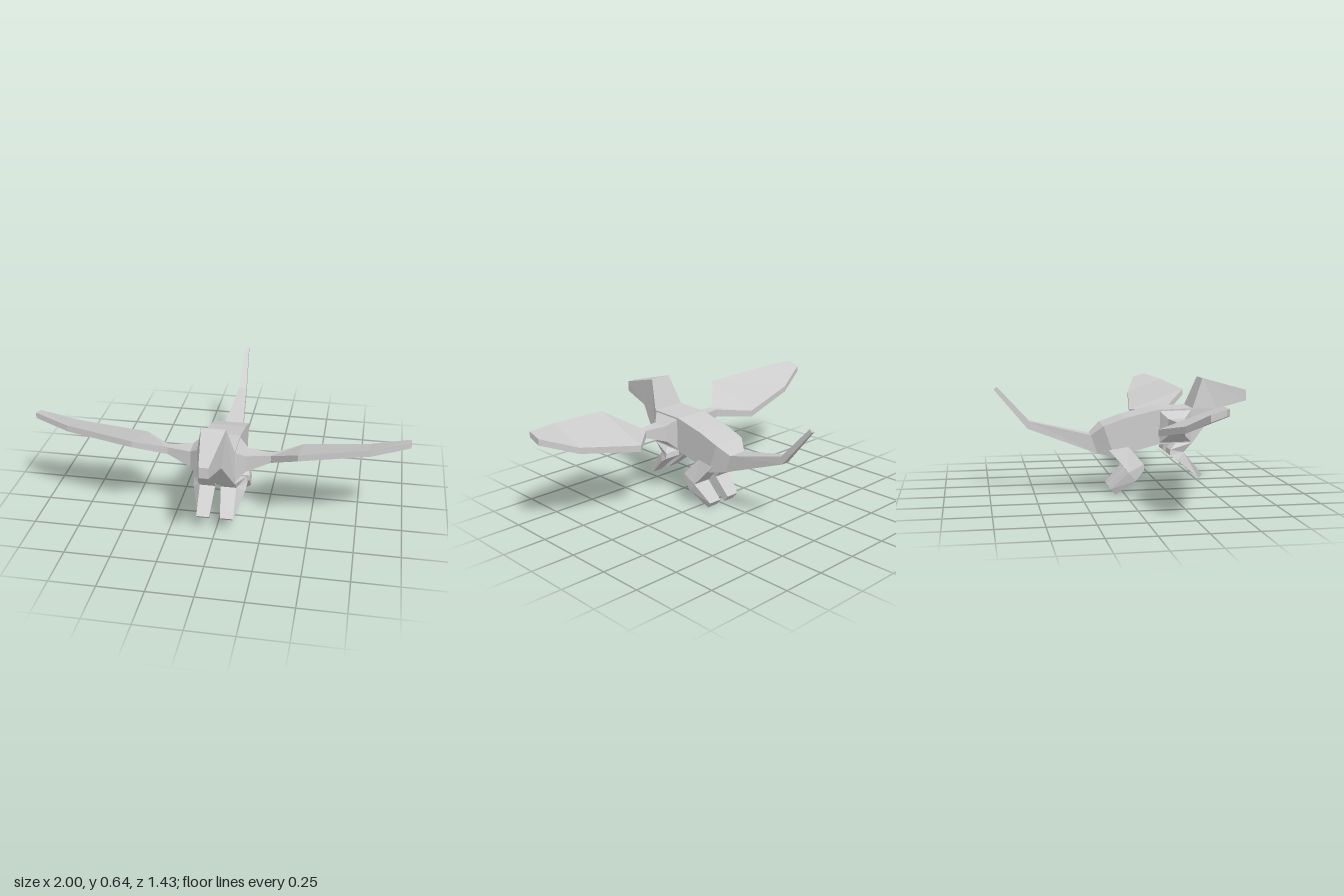
import * as THREE from 'three';

const material = new THREE.MeshStandardMaterial({ color: 0xcccccc, flatShading: true, side: THREE.DoubleSide });

// Skins a row of four-cornered rings and caps both ends, facing outwards.
function loft(name, rings) {
  const tris = [];
  const quad = (a, b, c, d) => tris.push([a, b, c], [a, c, d]);
  for (let i = 0; i < rings.length - 1; i++) {
    for (let j = 0; j < 4; j++) {
      const k = (j + 1) % 4;
      quad(rings[i][j], rings[i][k], rings[i + 1][k], rings[i + 1][j]);
    }
  }
  quad(...[...rings[0]].reverse());
  quad(...rings[rings.length - 1]);

  // A negative volume means the winding is inside out.
  let volume = 0;
  const [a, b, c] = [0, 1, 2].map(() => new THREE.Vector3());
  for (const t of tris) {
    volume += a.fromArray(t[0]).dot(b.fromArray(t[1]).cross(c.fromArray(t[2])));
  }
  if (volume < 0) tris.forEach((t) => t.reverse());

  const geometry = new THREE.BufferGeometry();
  geometry.setAttribute('position', new THREE.Float32BufferAttribute(tris.flat(2), 3));
  geometry.computeVertexNormals();
  const mesh = new THREE.Mesh(geometry, material);
  mesh.name = name;
  return mesh;
}

// Ring between two edges that run across x, each given as [z, y, x0, x1].
const edgeRing = ([p, q]) => [
  [p[2], p[1], p[0]], [p[3], p[1], p[0]],
  [q[3], q[1], q[0]], [q[2], q[1], q[0]],
];

// Wing ring at x: front [z, top, bottom], back [z, top, bottom].
const wingRing = ([x, f, b]) => [
  [x, f[1], f[0]], [x, b[1], b[0]], [x, b[2], b[0]], [x, f[2], f[0]],
];

const mirror = (rings) => rings.map((r) => r.map(([x, y, z]) => [-x, y, z]));

export function createModel() {
  const model = new THREE.Group();

  // Spine sections from snout to tail: top and bottom as [z, y, half width]
  const spine = [
    [[0.72, 0.57, 0.025], [0.72, 0.51, 0.025]],
    [[0.45, 0.645, 0.065], [0.54, 0.47, 0.055]],
    [[0.385, 0.48, 0.1], [0.385, 0.283, 0.1]],
    [[0.19, 0.476, 0.1], [0.19, 0.28, 0.1]],
    [[0, 0.432, 0.1], [0.02, 0.237, 0.1]],
    [[-0.12, 0.39, 0.1], [-0.06, 0.215, 0.1]],
    [[-0.185, 0.335, 0.055], [-0.15, 0.23, 0.055]],
    [[-0.525, 0.417, 0.022], [-0.535, 0.375, 0.022]],
    [[-0.7, 0.61, 0.01], [-0.715, 0.593, 0.01]],
  ].map((s) => edgeRing(s.map(([z, y, w]) => [z, y, -w, w])));
  model.add(
    loft('head', spine.slice(0, 2)),
    loft('neck', spine.slice(1, 3)),
    loft('body', spine.slice(2, 7)),
    loft('tail', spine.slice(6)),
  );

  // Shoulder and wing blade
  const shoulder = [
    [0.09, [0.385, 0.478, 0.283], [0.19, 0.474, 0.28]],
    [0.15, [0.33, 0.43, 0.335], [0.235, 0.43, 0.335]],
    [0.28, [0.305, 0.43, 0.388], [0.262, 0.425, 0.382]],
  ].map(wingRing);
  const blade = [
    [0.28, [0.305, 0.43, 0.388], [0.262, 0.425, 0.382]],
    [0.435, [0.455, 0.533, 0.498], [0.12, 0.415, 0.378]],
    [0.8, [0.395, 0.563, 0.527], [0.175, 0.482, 0.448]],
    [1, [0.32, 0.585, 0.553], [0.245, 0.563, 0.527]],
  ].map(wingRing);

  // Front leg: bent back at the elbow, then reaching forward
  const frontLeg = [
    [[0.385, 0.285, 0.01, 0.1], [0.29, 0.285, 0.02, 0.1]],
    [[0.335, 0.232, 0.015, 0.1], [0.25, 0.254, 0.04, 0.14]],
    [[0.336, 0.231, 0.015, 0.1], [0.245, 0.225, 0.045, 0.15]],
    [[0.337, 0.23, 0.015, 0.1], [0.29, 0.195, 0.04, 0.145]],
    [[0.445, 0.1, 0.03, 0.1], [0.425, 0.08, 0.03, 0.095]],
  ].map(edgeRing);

  // Hind leg: knee forward, foot trailing to the ground
  const hindLeg = [
    [[0.02, 0.27, 0.02, 0.1], [-0.09, 0.255, 0.02, 0.1]],
    [[0.1, 0.175, 0.03, 0.14], [0.015, 0.132, 0.03, 0.14]],
    [[0.1, 0.14, 0.03, 0.14], [0.014, 0.131, 0.03, 0.14]],
    [[0.055, 0.085, 0.03, 0.14], [0.013, 0.13, 0.03, 0.14]],
    [[-0.055, 0, 0.03, 0.1], [-0.082, 0.035, 0.03, 0.11]],
  ].map(edgeRing);

  const pairs = { Shoulder: shoulder, Wing: blade, FrontLeg: frontLeg, HindLeg: hindLeg };
  for (const [part, rings] of Object.entries(pairs)) {
    model.add(loft('left' + part, rings), loft('right' + part, mirror(rings)));
  }
  return model;
}
